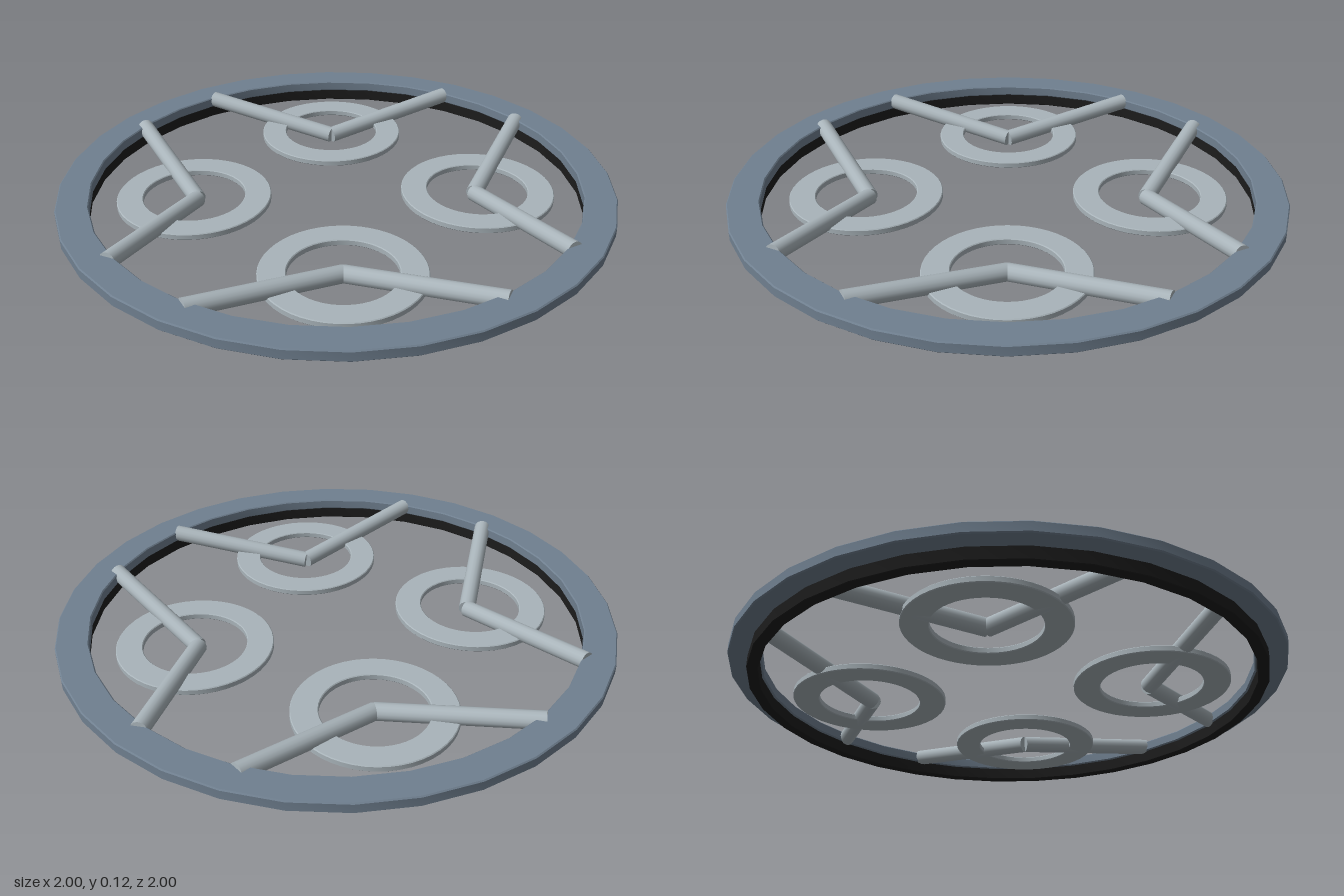
import * as THREE from 'three';
import { toCreasedNormals } from 'three/addons/utils/BufferGeometryUtils.js';

// Flat ring with a rectangular, slightly bevelled section
function ringGeometry(inner, outer, y0, y1, bevel, sides) {
  const b = bevel;
  const profile = [
    [inner + b, y0], [outer - b, y0], [outer, y0 + b], [outer, y1 - b],
    [outer - b, y1], [inner + b, y1], [inner, y1 - b], [inner, y0 + b], [inner + b, y0],
  ].map(([x, y]) => new THREE.Vector2(x, y));
  return toCreasedNormals(new THREE.LatheGeometry(profile, sides), 0.6);
}

// Round rod between two points
function rod(from, to, radius, material) {
  const along = new THREE.Vector3().subVectors(to, from);
  const mesh = new THREE.Mesh(new THREE.CylinderGeometry(radius, radius, along.length(), 16), material);
  mesh.position.addVectors(from, to).multiplyScalar(0.5);
  mesh.quaternion.setFromUnitVectors(new THREE.Vector3(0, 1, 0), along.normalize());
  return mesh;
}

export function createModel() {
  const slate = new THREE.MeshStandardMaterial({ name: 'slate', color: 0x708090 });
  const silver = new THREE.MeshStandardMaterial({ name: 'silver', color: 0xa9b4ba });
  const black = new THREE.MeshStandardMaterial({ name: 'black', color: 0x1c1c1c });

  const model = new THREE.Group();
  model.name = 'ringFrame';
  const add = (mesh, name, parent = model) => {
    mesh.name = name;
    parent.add(mesh);
    return mesh;
  };

  // Wide rim with a narrower dark band below it
  add(new THREE.Mesh(ringGeometry(0.885, 1, 0.065, 0.105, 0.004, 32), slate), 'outerRim');
  add(new THREE.Mesh(ringGeometry(0.892, 0.932, 0.02, 0.07, 0.002, 32), black), 'lowerBand');

  // One small ring and a V of two rods in each quadrant
  const smallRing = ringGeometry(0.185, 0.28, 0.027, 0.05, 0.003, 48);
  for (const sx of [1, -1]) {
    for (const sz of [1, -1]) {
      const quadrant = new THREE.Group();
      quadrant.name = (sz > 0 ? 'front' : 'back') + (sx > 0 ? 'Left' : 'Right') + 'Mount';
      model.add(quadrant);

      add(new THREE.Mesh(smallRing, silver), 'smallRing', quadrant).position.set(0.367 * sx, 0, 0.367 * sz);

      const joint = new THREE.Vector3(0.36 * sx, 0.031, 0.36 * sz);
      add(rod(joint, new THREE.Vector3(0.883 * sx, 0.09, 0.185 * sz), 0.031, silver), 'sideRod', quadrant);
      add(rod(joint, new THREE.Vector3(0.185 * sx, 0.09, 0.883 * sz), 0.031, silver), 'endRod', quadrant);
    }
  }
  return model;
}
